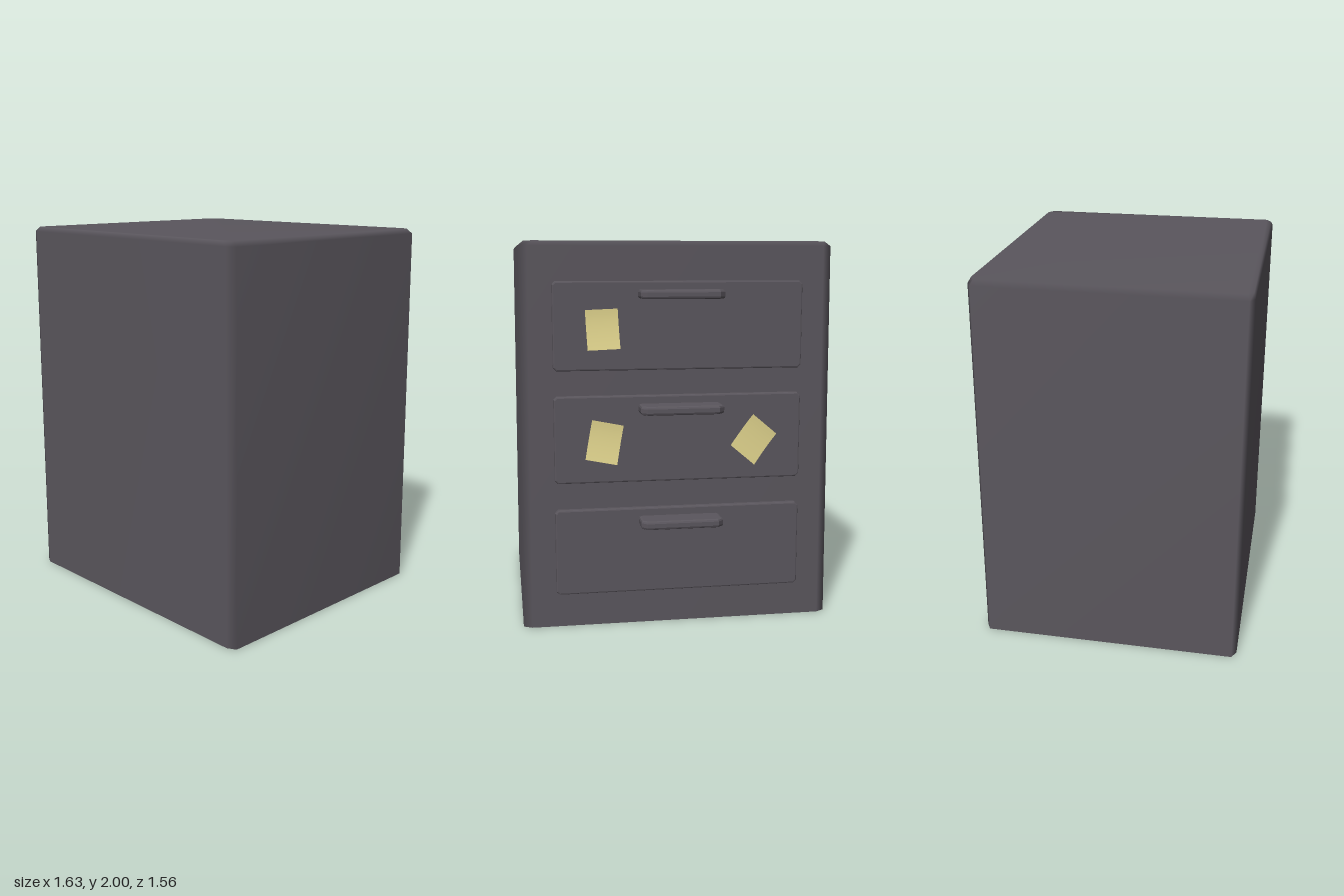
import * as THREE from 'three';

const metal = new THREE.MeshStandardMaterial({ color: 0x5a565d, side: THREE.DoubleSide });
metal.name = 'dark grey metal';
const paper = new THREE.MeshStandardMaterial({ color: 0xd8cc88, side: THREE.DoubleSide });
paper.name = 'yellow paper';

function addMesh(parent, name, geometry, material) {
  const mesh = new THREE.Mesh(geometry, material);
  mesh.name = name;
  parent.add(mesh);
  return mesh;
}

// Hollow shell with chamfered corners, closed on top and open below
function shellGeometry() {
  const levels = [ // y, half width, half depth
    [0, 0.817, 0.697],
    [1.975, 0.808, 0.692],
    [2, 0.778, 0.682],
  ];
  const pos = [], index = [], cx = 0.045, cz = 0.025;
  for (const [y, w, d] of levels) {
    const ring = [
      [w, d - cz], [w, cz - d], [w - cx, -d], [cx - w, -d],
      [-w, cz - d], [-w, d - cz], [cx - w, d], [w - cx, d],
    ];
    for (const [x, z] of ring) pos.push(x, y, z + 0.08);
  }
  for (let l = 0; l < levels.length - 1; l++) {
    for (let i = 0; i < 8; i++) {
      const a = l * 8 + i, b = l * 8 + (i + 1) % 8;
      index.push(a, b, b + 8, a, b + 8, a + 8);
    }
  }
  for (let i = 1; i < 7; i++) index.push(16, 16 + i, 17 + i);
  const geometry = new THREE.BufferGeometry();
  geometry.setAttribute('position', new THREE.Float32BufferAttribute(pos, 3));
  geometry.setIndex(index);
  geometry.computeVertexNormals();
  return geometry;
}

// Outline with cut corners, extruded with a small bevel to its full size
function bevelled(x0, x1, y0, y1, cut, depth, bevel) {
  const [l, r, b, t] = [x0 + bevel, x1 - bevel, y0 + bevel, y1 - bevel];
  const shape = new THREE.Shape([
    [l + cut, b], [r - cut, b], [r, b + cut], [r, t - cut],
    [r - cut, t], [l + cut, t], [l, t - cut], [l, b + cut],
  ].map(([x, y]) => new THREE.Vector2(x, y)));
  const geometry = new THREE.ExtrudeGeometry(shape, {
    depth: depth - 2 * bevel, bevelEnabled: true,
    bevelSize: bevel, bevelThickness: bevel, bevelSegments: 2,
  });
  return geometry.translate(0, 0, bevel);
}

// Paper square held at its top edge, its lower edge curling outward
function noteGeometry(angle) {
  const w = 0.165, h = 0.2;
  const geometry = new THREE.PlaneGeometry(w, h, 4, 8);
  const p = geometry.attributes.position;
  for (let i = 0; i < p.count; i++) {
    const t = THREE.MathUtils.clamp(0.5 - p.getY(i) / h, 0, 1);
    p.setZ(i, 0.002 + 0.043 * Math.pow(t, 1.6));
  }
  geometry.computeVertexNormals();
  return geometry.rotateZ(-angle).rotateY(Math.PI);
}

export function createModel() {
  const model = new THREE.Group();
  model.name = 'filingCabinet';
  addMesh(model, 'cabinetShell', shellGeometry(), metal);

  // Three identical drawers, each with a shelf-like pull
  const panel = bevelled(-0.645, 0.645, 0, 0.45, 0.012, 0.045, 0.008);
  const pull = bevelled(-0.213, 0.213, 0.62, 0.78, 0.022, 0.045, 0.012).rotateX(-Math.PI / 2);
  [0.18, 0.77, 1.35].forEach((y, i) => {
    const drawer = new THREE.Group();
    drawer.name = 'drawer' + (i + 1);
    drawer.position.y = y;
    addMesh(drawer, 'drawerFront', panel, metal).position.z = -0.647;
    addMesh(drawer, 'drawerHandle', pull, metal).position.y = 0.363;
    model.add(drawer);
  });

  // Paper notes: x, y, clockwise turn
  [[0.395, 1.56, -0.04], [0.39, 0.985, 0.2], [-0.39, 0.98, 0.7]].forEach(([x, y, angle], i) => {
    addMesh(model, 'paperNote' + (i + 1), noteGeometry(angle), paper).position.set(x, y, -0.648);
  });
  return model;
}
